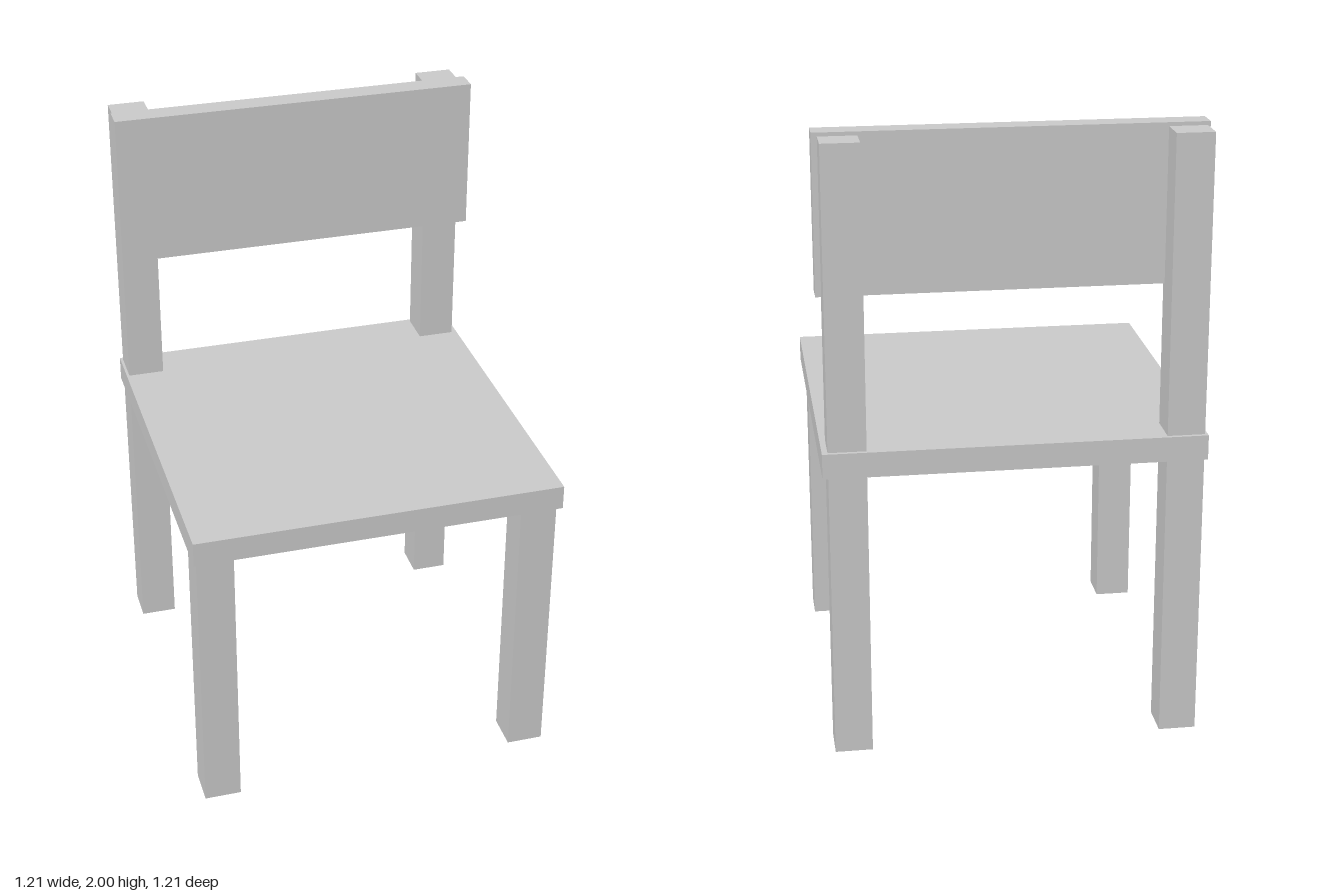
import * as THREE from 'three';

export function createModel() {
  const chair = new THREE.Group();
  chair.name = 'chair';
  const material = new THREE.MeshStandardMaterial({ color: 0xcccccc, flatShading: true });

  // Box given by its extents on each axis
  function addBox(name, [x0, x1], [y0, y1], [z0, z1]) {
    const mesh = new THREE.Mesh(new THREE.BoxGeometry(x1 - x0, y1 - y0, z1 - z0), material);
    mesh.position.set((x0 + x1) / 2, (y0 + y1) / 2, (z0 + z1) / 2);
    mesh.name = name;
    chair.add(mesh);
  }

  const seatBottom = 0.947;
  const seatTop = 1.028;
  const backZ = [-0.592, -0.472];
  const frontZ = [0.475, 0.595];

  // Seat slab and backrest board
  addBox('seat', [-0.605, 0.605], [seatBottom, seatTop], [-0.605, 0.605]);
  addBox('backrest', [-0.605, 0.605], [1.495, 2], [-0.49, -0.415]);

  // Legs, with the rear pair continuing above the seat as posts
  const sides = { right: [-0.596, -0.476], left: [0.467, 0.587] };
  for (const [side, x] of Object.entries(sides)) {
    addBox(`${side}FrontLeg`, x, [0, seatBottom], frontZ);
    addBox(`${side}BackLeg`, x, [0, seatBottom], backZ);
    addBox(`${side}BackPost`, x, [seatTop, 1.988], backZ);
  }

  return chair;
}
